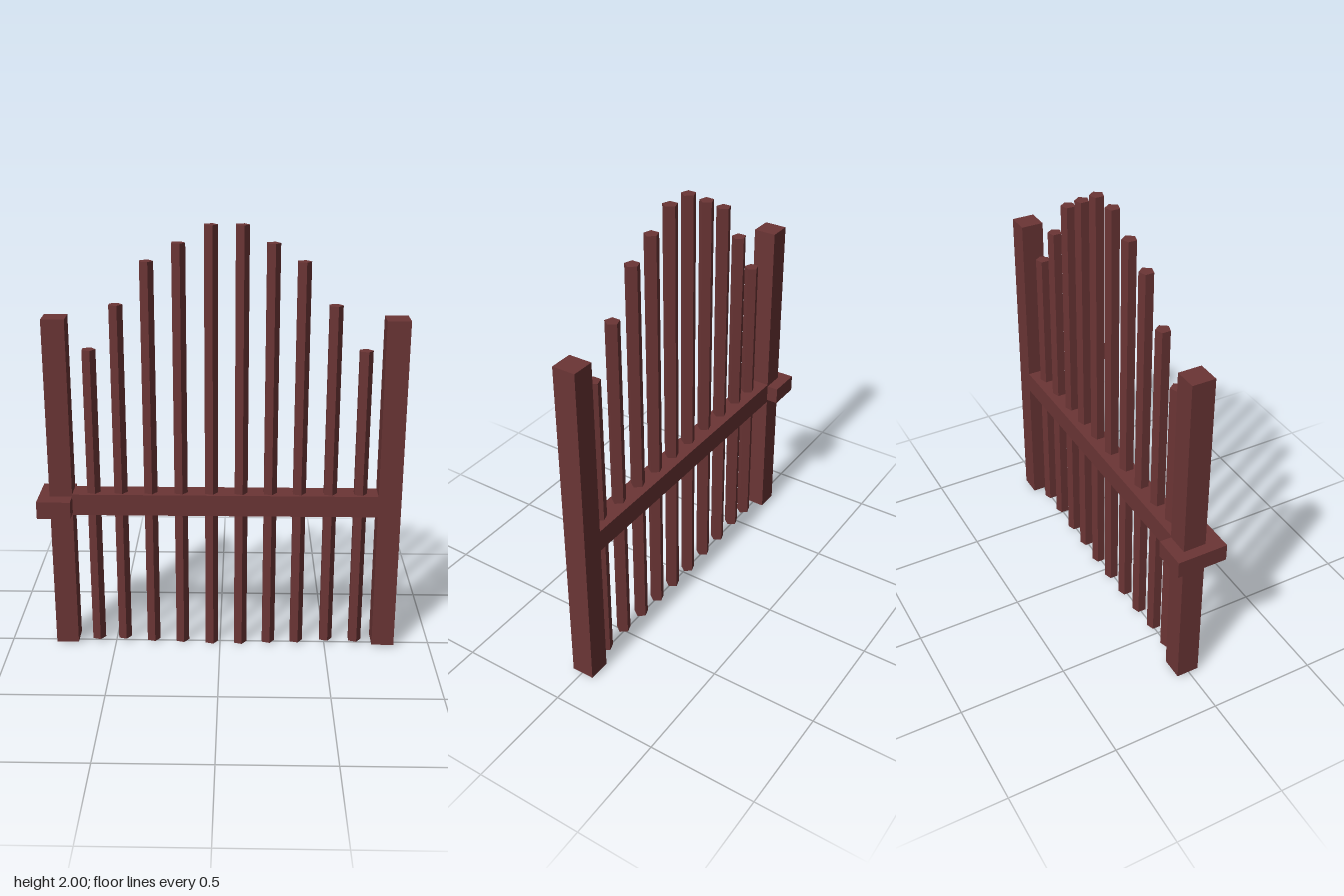
import * as THREE from 'three';

export function createModel() {
  const gate = new THREE.Group();
  gate.name = 'gate';
  const wood = new THREE.MeshStandardMaterial({ color: 0x6b3535, flatShading: true });

  // box given by its extents on each axis
  function box(name, [x0, x1], [y0, y1], [z0, z1]) {
    const mesh = new THREE.Mesh(new THREE.BoxGeometry(x1 - x0, y1 - y0, z1 - z0), wood);
    mesh.position.set((x0 + x1) / 2, (y0 + y1) / 2, (z0 + z1) / 2);
    mesh.name = name;
    gate.add(mesh);
  }

  // end posts, cross rail and the hinge block around one post
  const depth = [-0.063, 0.043];
  box('rightPost', [-0.782, -0.678], [0.01, 1.593], depth);
  box('leftPost', [0.725, 0.83], [0.01, 1.593], depth);
  box('rail', [-0.68, 0.727], [0.672, 0.773], depth);
  box('hingeBlock', [-0.832, -0.678], [0.684, 0.764], [-0.118, 0.118]);

  // five-sided pickets rising in an arch, mirrored heights from both ends
  const xs = [-0.584, -0.459, -0.321, -0.182, -0.042, 0.094, 0.228, 0.362, 0.504, 0.643];
  const spans = [[0.018, 1.45], [0.022, 1.652], [0.011, 1.843], [0.007, 1.922], [0, 2]];
  xs.forEach((x, i) => {
    const [y0, y1] = spans[Math.min(i, 9 - i)];
    const geometry = new THREE.CylinderGeometry(0.033, 0.033, y1 - y0, 5);
    geometry.rotateY(Math.PI / 2); // one corner points along +x
    const picket = new THREE.Mesh(geometry, wood);
    picket.position.set(x, (y0 + y1) / 2, 0);
    picket.name = `picket${i + 1}`;
    gate.add(picket);
  });

  return gate;
}
